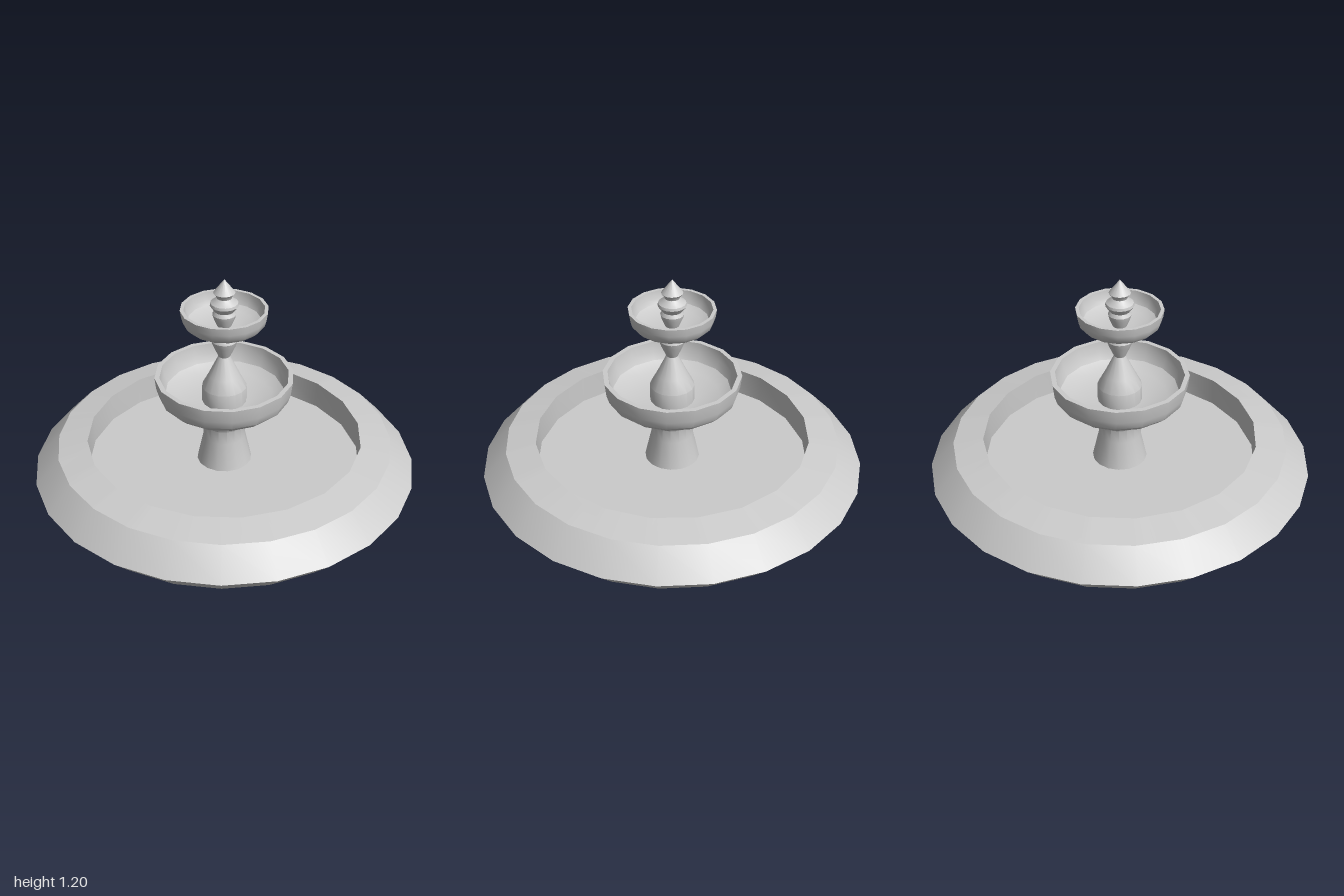
import * as THREE from 'three';
import { toCreasedNormals } from 'three/addons/utils/BufferGeometryUtils.js';

const material = new THREE.MeshStandardMaterial({ color: 0xcccccc, side: THREE.DoubleSide });

function addMesh(parent, name, geometry, crease = 0.6) {
  const mesh = new THREE.Mesh(toCreasedNormals(geometry, crease), material);
  mesh.name = name;
  parent.add(mesh);
}

// Profile of [radius, height] pairs turned around the y axis
function turned(profile, sides, start = 0) {
  const points = profile.map(([r, y]) => new THREE.Vector2(r, y));
  return new THREE.LatheGeometry(points, sides, start, Math.PI * 2);
}

// Turned shape whose flats (not corners) lie on the axes; radii are measured to the flats
function turnedFlat(profile, sides) {
  const k = 1 / Math.cos(Math.PI / sides);
  return turned(profile.map(([r, y]) => [r * k, y]), sides, Math.PI / sides);
}

// Distance to the edge of a regular polygon in a given direction
function polygonRadius(flat, sides, angle) {
  const step = (Math.PI * 2) / sides;
  return flat / Math.cos(angle - Math.round(angle / step) * step);
}

// Sloping ring joining a 24-sided outer edge to a 20-sided inner edge
function rimRing(outer, outerY, inner, innerY) {
  const count = 240, positions = [], index = [];
  for (let i = 0; i <= count; i++) {
    const a = (i / count) * Math.PI * 2;
    const ro = polygonRadius(outer, 24, a), ri = polygonRadius(inner, 20, a);
    positions.push(Math.sin(a) * ro, outerY, Math.cos(a) * ro);
    positions.push(Math.sin(a) * ri, innerY, Math.cos(a) * ri);
    if (i < count) {
      const p = i * 2;
      index.push(p, p + 2, p + 1, p + 1, p + 2, p + 3);
    }
  }
  const geometry = new THREE.BufferGeometry();
  geometry.setAttribute('position', new THREE.Float32BufferAttribute(positions, 3));
  geometry.setIndex(index);
  return geometry;
}

export function createModel() {
  const fountain = new THREE.Group();
  fountain.name = 'fountain';

  // Ground basin: bevelled outside, sloping rim, upright inner wall and floor
  const basin = new THREE.Group();
  basin.name = 'basin';
  fountain.add(basin);
  addMesh(basin, 'basinOuter', turnedFlat([[0, 0], [0.875, 0], [1, 0.135], [0.875, 0.27]], 24));
  addMesh(basin, 'basinRim', rimRing(0.875, 0.27, 0.715, 0.3));
  addMesh(basin, 'basinInner', turnedFlat([[0.715, 0.3], [0.715, 0.147], [0, 0.147]], 20));

  // Pedestal under the large bowl
  addMesh(fountain, 'pedestal', turned([
    [0.145, 0.147], [0.112, 0.295], [0.11, 0.37], [0.126, 0.4], [0.118, 0.418],
    [0.095, 0.437], [0.11, 0.452], [0.155, 0.468], [0.168, 0.482],
  ], 16));

  // Large bowl, outside then inside
  addMesh(fountain, 'largeBowl', turned([
    [0, 0.48], [0.17, 0.482], [0.24, 0.49], [0.3, 0.51], [0.338, 0.545], [0.352, 0.59], [0.36, 0.66],
    [0.335, 0.66], [0.328, 0.605], [0.308, 0.56], [0.25, 0.527], [0.12, 0.51], [0, 0.51],
  ], 16));

  // Stem between the bowls
  addMesh(fountain, 'stem', turned([
    [0.116, 0.51], [0.116, 0.595], [0.082, 0.66], [0.03, 0.77], [0.058, 0.832], [0.068, 0.862],
    [0.06, 0.882], [0.05, 0.892], [0.056, 0.908], [0.08, 0.92], [0.086, 0.928],
  ], 16));

  // Small bowl, outside then inside
  addMesh(fountain, 'smallBowl', turned([
    [0, 0.925], [0.09, 0.926], [0.145, 0.932], [0.185, 0.945], [0.207, 0.968], [0.216, 1.0], [0.222, 1.04],
    [0.204, 1.04], [0.198, 1.0], [0.185, 0.975], [0.145, 0.955], [0.07, 0.945], [0, 0.945],
  ], 16));

  // Finial rising from the small bowl
  addMesh(fountain, 'finial', turned([
    [0.036, 0.945], [0.055, 0.99], [0.06, 1.01], [0.05, 1.028], [0.06, 1.042], [0.073, 1.06], [0.07, 1.074],
    [0.052, 1.086], [0.038, 1.1], [0.042, 1.112], [0.055, 1.128], [0, 1.2],
  ], 16));

  return fountain;
}
